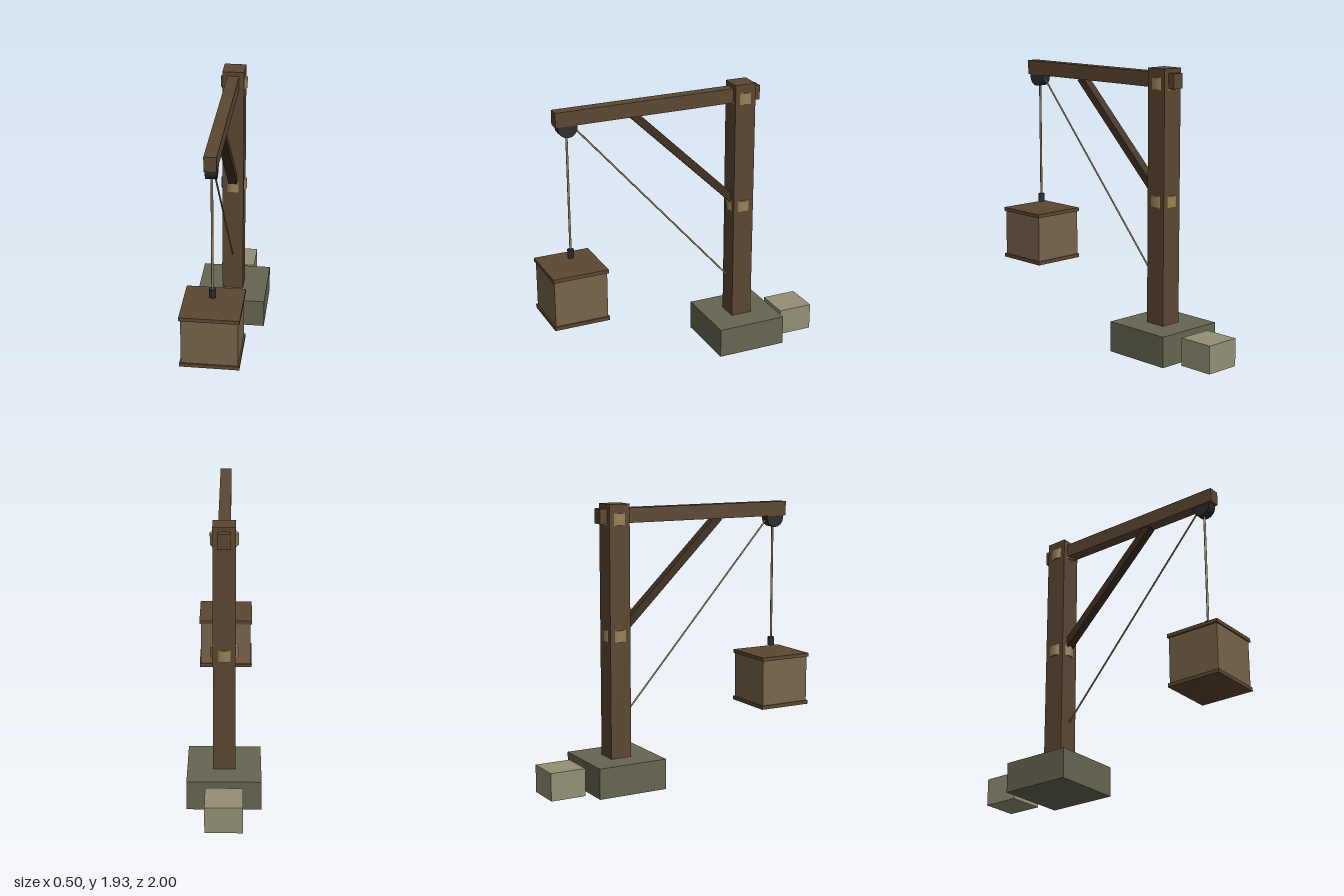
import * as THREE from 'three';

const mat = (color) => new THREE.MeshStandardMaterial({ color });
const wood = mat(0x5c4732), darkWood = mat(0x403022), crateWood = mat(0x78644a);
const stone = mat(0x676552), paleStone = mat(0x949076), rope = mat(0x8f8058);
const iron = mat(0x2c2c2e), strap = mat(0x9a8458);

export function createModel() {
  const crane = new THREE.Group();
  crane.name = 'crane';
  const postZ = -0.454, loadZ = 0.805;

  const add = (name, geometry, material, x, y, z) => {
    const mesh = new THREE.Mesh(geometry, material);
    mesh.name = name;
    mesh.position.set(x, y, z);
    crane.add(mesh);
    return mesh;
  };
  // Box given by its width, its y range and its z range
  const block = (name, material, w, y0, y1, z0, z1) =>
    add(name, new THREE.BoxGeometry(w, y1 - y0, z1 - z0), material, 0, (y0 + y1) / 2, (z0 + z1) / 2);
  // Lays a geometry built along y between two points (y, z) in the middle plane
  const between = (name, makeGeometry, material, [y0, z0], [y1, z1]) => {
    const a = new THREE.Vector3(0, y0, z0), b = new THREE.Vector3(0, y1, z1);
    const mesh = add(name, makeGeometry(a.distanceTo(b)), material, 0, (y0 + y1) / 2, (z0 + z1) / 2);
    mesh.quaternion.setFromUnitVectors(new THREE.Vector3(0, 1, 0), b.sub(a).normalize());
    return mesh;
  };

  // Stonework
  block('base', stone, 0.5, 0, 0.21, postZ - 0.25, postZ + 0.25);
  block('looseStone', paleStone, 0.25, 0, 0.19, -1, -0.75);

  // Timber frame
  block('post', wood, 0.15, 0.21, 1.93, postZ - 0.075, postZ + 0.075);
  block('beam', wood, 0.08, 1.8, 1.9, -0.58, 0.89);
  between('brace', (l) => new THREE.BoxGeometry(0.06, l, 0.055), darkWood, [1.07, -0.42], [1.81, 0.345]);

  // Eight-sided straps, showing only through the flat faces of the post
  for (const y of [1.05, 1.83])
    add('strap', new THREE.CylinderGeometry(0.092, 0.092, 0.08, 8), strap, 0, y, postZ);

  // Pulley, ropes and hook
  add('pulley', new THREE.CylinderGeometry(0.067, 0.067, 0.07, 16), iron, 0, 1.787, loadZ)
    .rotation.z = Math.PI / 2;
  between('hoistRope', (l) => new THREE.CylinderGeometry(0.008, 0.008, l, 8), rope, [0.9, loadZ], [1.76, loadZ]);
  between('haulRope', (l) => new THREE.CylinderGeometry(0.006, 0.006, l, 8), rope, [0.508, -0.37], [1.78, 0.757]);
  add('hook', new THREE.CylinderGeometry(0.023, 0.023, 0.06, 10), iron, 0, 0.895, loadZ);

  // Hanging crate with a board above and below
  block('crate', crateWood, 0.37, 0.46, 0.8, loadZ - 0.186, loadZ + 0.186);
  for (const [name, y] of [['crateFloor', 0.445], ['crateLid', 0.793]])
    block(name, wood, 0.39, y, y + 0.026, loadZ - 0.195, loadZ + 0.195);

  return crane;
}
